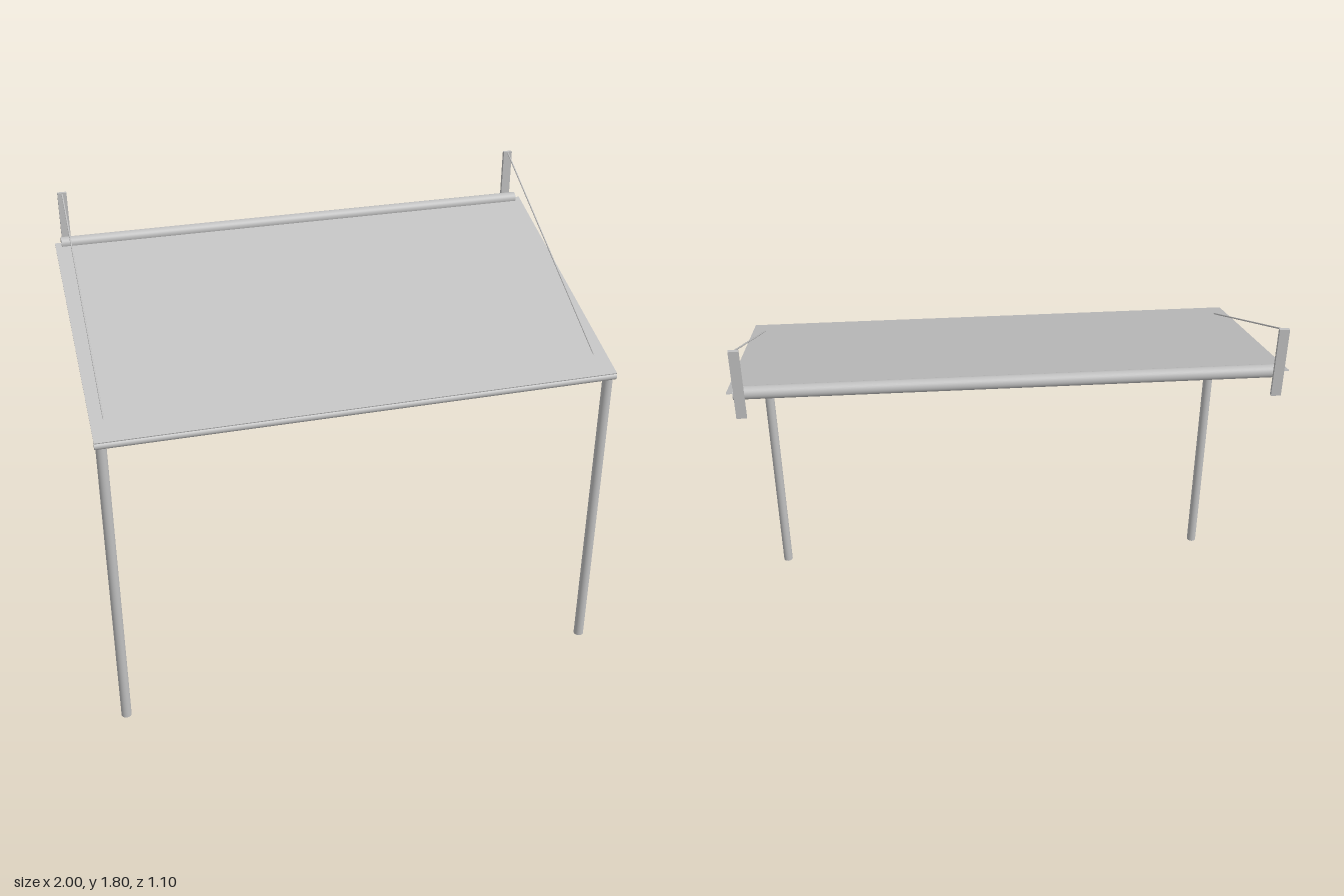
import * as THREE from 'three';

export function createModel() {
  const model = new THREE.Group();
  model.name = 'awning';
  const grey = new THREE.MeshStandardMaterial({ color: 0xc0c0c0 });
  grey.name = 'light grey';

  const add = (name, geometry, x, y, z) => {
    const mesh = new THREE.Mesh(geometry, grey);
    mesh.name = name;
    mesh.position.set(x, y, z);
    model.add(mesh);
    return mesh;
  };

  // Round bar between two points
  const bar = (name, a, b, radius, sides) => {
    const dir = b.clone().sub(a);
    const mid = a.clone().add(b).multiplyScalar(0.5);
    const mesh = add(name, new THREE.CylinderGeometry(radius, radius, dir.length(), sides), mid.x, mid.y, mid.z);
    mesh.quaternion.setFromUnitVectors(new THREE.Vector3(0, 1, 0), dir.normalize());
    return mesh;
  };
  const v = (x, y, z) => new THREE.Vector3(x, y, z);

  // Sloping canopy sheet
  const rise = 1.604 - 1.27, run = 1.05;
  const canopy = add('canopy', new THREE.BoxGeometry(2, 0.004, Math.hypot(rise, run)), 0, 1.436, 0.023);
  canopy.rotation.x = Math.atan2(rise, run);

  // Roller at the wall and bar along the front edge
  bar('roller', v(-0.975, 1.604, -0.5), v(0.975, 1.604, -0.5), 0.024, 32);
  bar('frontBar', v(-1, 1.254, 0.537), v(1, 1.254, 0.537), 0.014, 24);

  // Posts, wall brackets and stay rods on both sides
  for (const [side, s] of [['left', 1], ['right', -1]]) {
    bar(side + 'Post', v(s * 0.975, 0, 0.525), v(s * 0.975, 1.25, 0.525), 0.02, 32);
    add(side + 'WallBracket', new THREE.BoxGeometry(0.036, 0.272, 0.014), s * 0.95, 1.664, -0.543);
    bar(side + 'StayRod', v(s * 0.95, 1.795, -0.537), v(s * 0.95, 1.256, 0.535), 0.003, 10);
  }
  return model;
}
